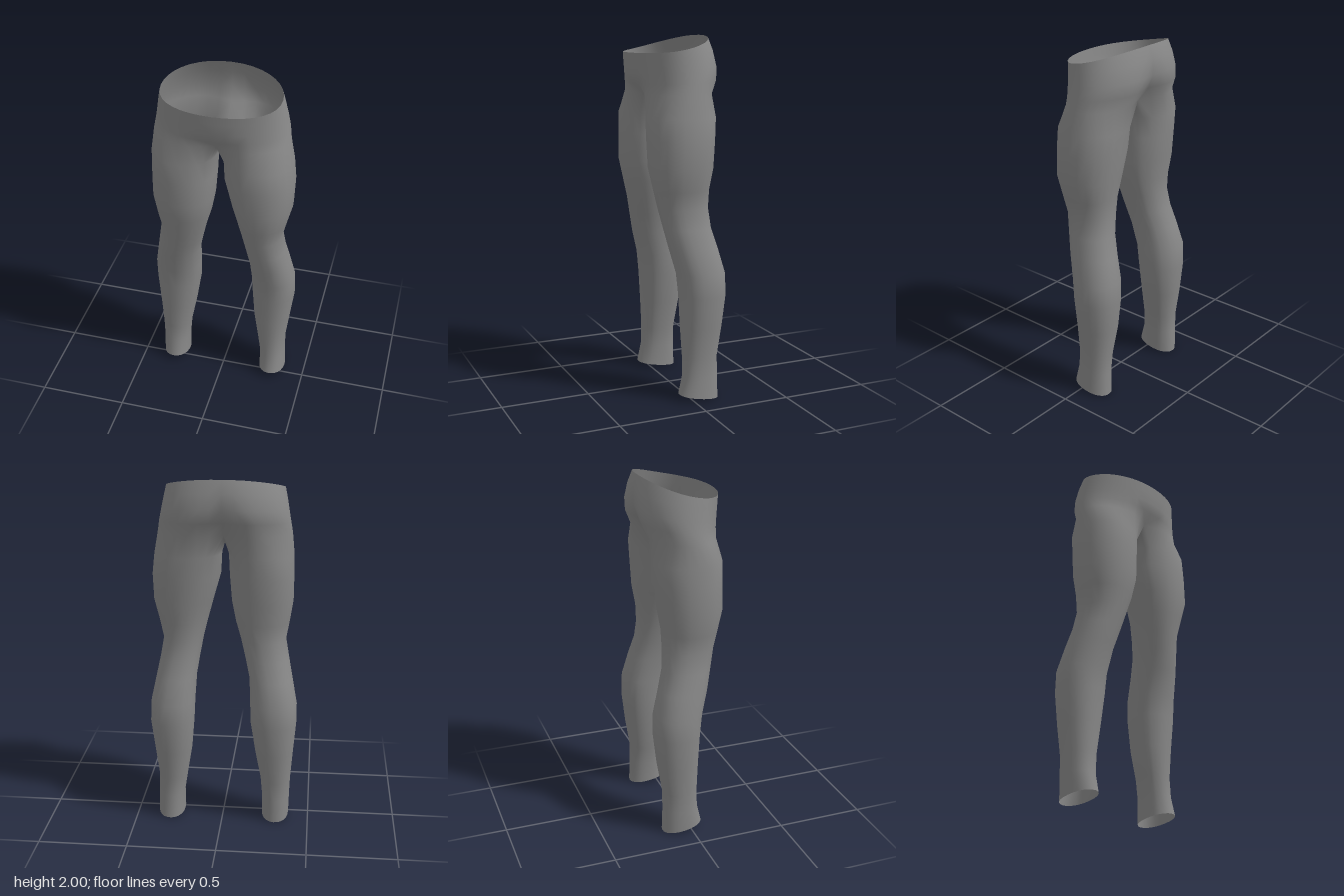
import * as THREE from 'three';
import { mergeVertices } from 'three/addons/utils/BufferGeometryUtils.js';

const OUT = 18;      // segments from front seam round the outside to back seam
const INN = 8;       // segments along the inside of the leg
const SEAM = -0.006; // x of the centre seam

// Hip rows: y at front, rise at back, outer x left, outer x right, front z, back z, front dent, back dent
const HIPS = [
  [1.908, 0.092, 0.315, 0.330, 0.232, -0.186, 0, 0],
  [1.860, 0.070, 0.326, 0.342, 0.228, -0.214, 0, 0.006],
  [1.800, 0.045, 0.340, 0.354, 0.222, -0.232, 0, 0.022],
  [1.745, 0.025, 0.353, 0.364, 0.216, -0.226, 0.012, 0.045],
  [1.690, 0.000, 0.364, 0.374, 0.211, -0.192, 0.060, 0.080],
];
// Leg rows: y, inner and outer x left, inner and outer x right, front z, back z
const LEGS = [
  [1.57, 0.012, 0.386, 0.026, 0.385, 0.207, -0.166],
  [1.45, 0.018, 0.400, 0.031, 0.387, 0.206, -0.156],
  [1.30, 0.060, 0.395, 0.042, 0.386, 0.208, -0.143],
  [1.18, 0.092, 0.365, 0.065, 0.368, 0.182, -0.123],
  [1.08, 0.116, 0.342, 0.095, 0.350, 0.160, -0.121],
  [0.97, 0.136, 0.360, 0.122, 0.370, 0.135, -0.130],
  [0.86, 0.153, 0.382, 0.148, 0.392, 0.110, -0.162],
  [0.72, 0.160, 0.410, 0.155, 0.420, 0.072, -0.197],
  [0.60, 0.165, 0.414, 0.160, 0.420, 0.060, -0.200],
  [0.42, 0.180, 0.392, 0.188, 0.405, 0.050, -0.182],
  [0.25, 0.208, 0.372, 0.220, 0.392, 0.042, -0.156],
  [0.14, 0.225, 0.374, 0.230, 0.388, 0.045, -0.155],
  [0.00, 0.225, 0.380, 0.230, 0.385, 0.070, -0.160],
];

// Slightly squared sine or cosine
const soft = (v, p) => Math.sign(v) * Math.pow(Math.abs(v), p);

// Open half ring of the hips on one side (side 1 = left, -1 = right)
function hipRow([y, rise, xl, xr, zf, zb, df, db], side) {
  const w = side > 0 ? xl - SEAM : xr + SEAM;
  const points = [];
  for (let j = 0; j <= OUT; j++) {
    const a = Math.PI * j / OUT;
    const x = j === 0 || j === OUT ? 0 : w * soft(Math.sin(a), 0.95);
    const c = soft(Math.cos(a), 0.95);
    const dent = Math.exp(-((x / 0.09) ** 2)) * (c > 0 ? -df : db);
    const z = (zf + zb) / 2 + c * (zf - zb) / 2 + dent;
    points.push([SEAM + side * x, y + rise * Math.pow((1 - c) / 2, 1.9), z]);
  }
  return points;
}

// Saddle between the legs, closing the lowest hip row into a full ring
function addCrotch(row) {
  const back = row[OUT], front = row[0];
  for (let k = 1; k < INN; k++) {
    const t = k / INN;
    row.push([SEAM, back[1] - 0.06 * Math.sin(Math.PI * t), THREE.MathUtils.lerp(back[2], front[2], t)]);
  }
  return row;
}

// Closed ring of a leg, beginning at the inner front
function legRow([y, il, ol, ir, or, zf, zb], side, isHem) {
  const inner = side > 0 ? il : ir, outer = side > 0 ? ol : or;
  const start = -50 * Math.PI / 180, sweep = 280 * Math.PI / 180;
  const points = [];
  for (let j = 0; j < OUT + INN; j++) {
    const a = j <= OUT ? start + sweep * j / OUT
      : start + sweep + (2 * Math.PI - sweep) * (j - OUT) / INN;
    const c = soft(Math.cos(a), 0.92);
    const x = (inner + outer) / 2 + soft(Math.sin(a), 0.92) * (outer - inner) / 2;
    const z = (zf + zb) / 2 + c * (zf - zb) / 2;
    points.push([side * x, y + (isHem ? 0.018 * (1 + c) : 0), z]);
  }
  return points;
}

// Stitch the rows of one side
function addSide(side, positions, index) {
  const rows = HIPS.map((r) => hipRow(r, side));
  addCrotch(rows[rows.length - 1]);
  LEGS.forEach((r, i) => rows.push(legRow(r, side, i === LEGS.length - 1)));
  const starts = rows.map((row) => {
    const first = positions.length / 3;
    row.forEach((p) => positions.push(...p));
    return first;
  });
  for (let i = 0; i < rows.length - 1; i++) {
    const closed = i >= HIPS.length - 1;
    const n = closed ? OUT + INN : OUT;
    for (let j = 0; j < n; j++) {
      const k = closed ? (j + 1) % n : j + 1;
      const a = starts[i] + j, b = starts[i] + k;
      const c = starts[i + 1] + j, d = starts[i + 1] + k;
      if (side > 0) index.push(a, c, b, b, c, d);
      else index.push(a, b, c, b, d, c);
    }
  }
}

export function createModel() {
  const group = new THREE.Group();
  group.name = 'trousers';
  const cloth = new THREE.MeshStandardMaterial({ color: 0x888888, side: THREE.DoubleSide });
  cloth.name = 'grey cloth';

  // Both sides share the centre seam, so they are welded and smoothed together
  const positions = [], index = [];
  addSide(1, positions, index);
  addSide(-1, positions, index);
  let geometry = new THREE.BufferGeometry();
  geometry.setAttribute('position', new THREE.Float32BufferAttribute(positions, 3));
  geometry.setIndex(index);
  geometry = mergeVertices(geometry, 1e-4);
  geometry.computeVertexNormals();

  const mesh = new THREE.Mesh(geometry, cloth);
  mesh.name = 'hipsAndLegs';
  group.add(mesh);
  return group;
}
